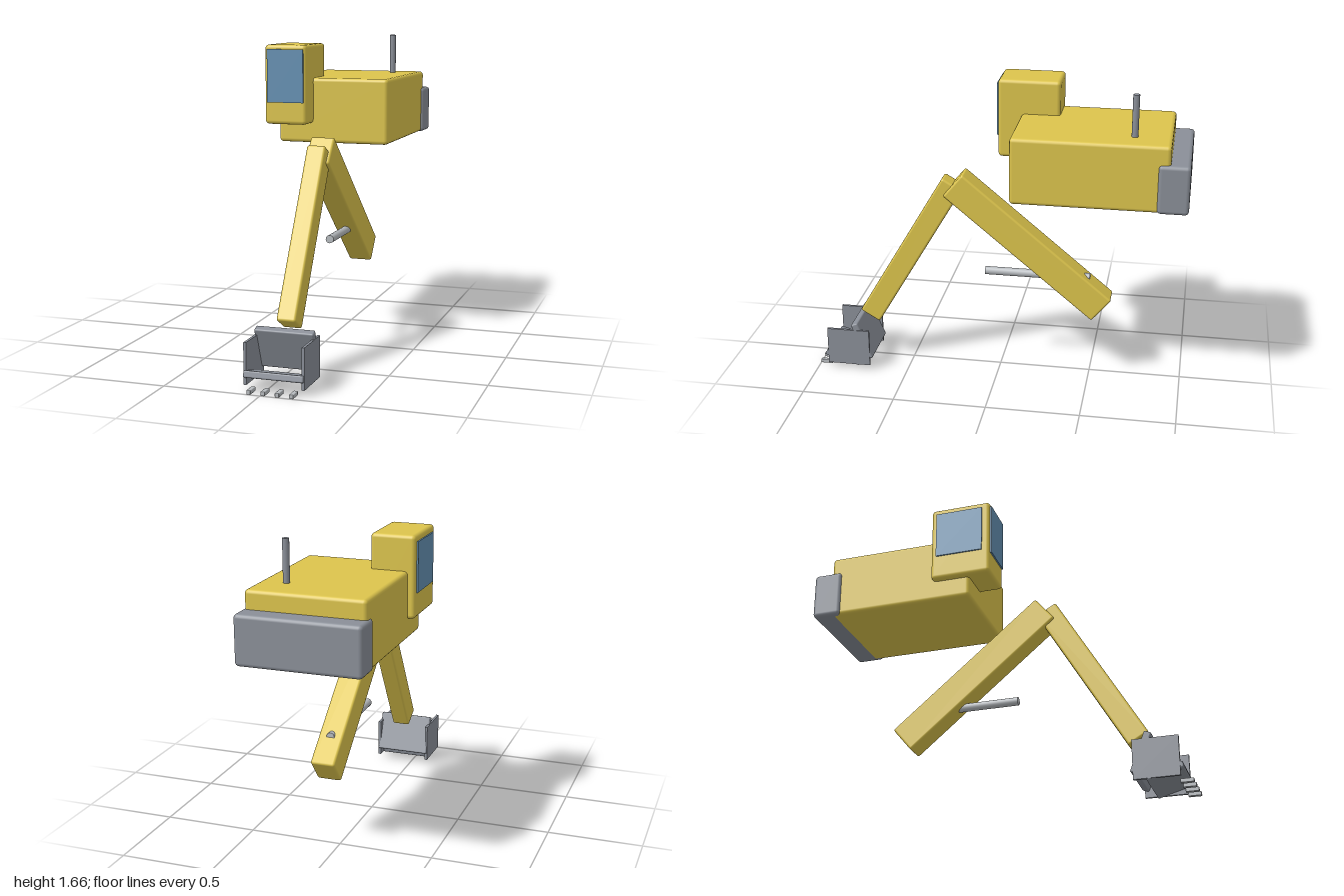
import * as THREE from 'three';
import { RoundedBoxGeometry } from 'three/addons/geometries/RoundedBoxGeometry.js';

function paint(name, color) {
  const material = new THREE.MeshStandardMaterial({ color });
  material.name = name;
  return material;
}

export function createModel() {
  const yellow = paint('yellow paint', 0xdcc44c);
  const grey = paint('dark steel', 0x8a8f98);
  const bright = paint('bright steel', 0xb8bcc0);
  const glass = paint('blue glass', 0x6490b2);

  const model = new THREE.Group();
  model.name = 'excavator';

  function add(name, geometry, material, x, y, z, parent = model) {
    const mesh = new THREE.Mesh(geometry, material);
    mesh.name = name;
    mesh.position.set(x, y, z);
    parent.add(mesh);
    return mesh;
  }

  // Box given by its [min, max] extents; radius 0 gives sharp edges
  function block(name, material, [x0, x1], [y0, y1], [z0, z1], radius = 0, parent = model) {
    const size = [x1 - x0, y1 - y0, z1 - z0];
    const geometry = radius ? new RoundedBoxGeometry(...size, 2, radius) : new THREE.BoxGeometry(...size);
    return add(name, geometry, material, (x0 + x1) / 2, (y0 + y1) / 2, (z0 + z1) / 2, parent);
  }

  // Tilted bar between two [z, y] points in the plane of the arm
  const armX = 0.05;
  function bar(name, material, [z0, y0], [z1, y1], width, thickness, radius, parent = model) {
    const length = Math.hypot(z1 - z0, y1 - y0);
    const geometry = new RoundedBoxGeometry(width, thickness, length, 2, radius);
    const mesh = add(name, geometry, material, armX, (y0 + y1) / 2, (z0 + z1) / 2, parent);
    mesh.rotation.x = -Math.atan2(y1 - y0, z1 - z0);
    return mesh;
  }

  // Upper house, counterweight and exhaust
  block('house', yellow, [-0.295, 0.32], [1.09, 1.442], [-0.9, -0.093], 0.02);
  block('counterweight', grey, [-0.307, 0.335], [1.09, 1.346], [-1, -0.84], 0.02);
  add('exhaust', new THREE.CylinderGeometry(0.017, 0.017, 0.24, 16), grey, 0.182, 1.54, -0.71);

  // Cab with windows on the front and the outer side
  const cab = new THREE.Group();
  cab.name = 'cab';
  model.add(cab);
  block('cabShell', yellow, [-0.332, -0.098], [1.197, 1.624], [-0.3, 0.032], 0.02, cab);
  block('frontWindow', glass, [-0.316, -0.112], [1.315, 1.6], [0.031, 0.04], 0, cab);
  block('sideWindow', glass, [-0.34, -0.331], [1.33, 1.59], [-0.27, -0.01], 0, cab);

  // Boom, stick and hydraulic cylinder
  bar('boom', yellow, [-0.565, 0.425], [0.243, 1.094], 0.13, 0.163, 0.012);
  bar('stick', yellow, [0.247, 1.095], [0.723, 0.285], 0.1, 0.122, 0.012);
  const cylinder = add('hydraulicCylinder', new THREE.CylinderGeometry(0.022, 0.022, 0.57, 16),
    bright, armX, 0.592, -0.21);
  cylinder.rotation.x = Math.PI / 2;

  // Bucket: sloping back and floor between two flat cheeks
  const bucket = new THREE.Group();
  bucket.name = 'bucket';
  model.add(bucket);
  bar('bucketBack', grey, [0.708, 0.068], [0.79, 0.276], 0.306, 0.04, 0.008, bucket);
  bar('bucketFloor', grey, [0.767, 0.037], [0.957, 0.089], 0.306, 0.035, 0.008, bucket);
  for (const side of [-1, 1]) {
    const x = armX + side * 0.148;
    block('bucketCheek', grey, [x - 0.007, x + 0.007], [0.03, 0.24], [0.706, 0.942], 0, bucket);
  }
  for (let i = 0; i < 4; i++) {
    const x = armX + (i - 1.5) * 0.072;
    block('tooth', bright, [x - 0.011, x + 0.011], [0.002, 0.024], [0.932, 1], 0.004, bucket);
  }

  return model;
}
